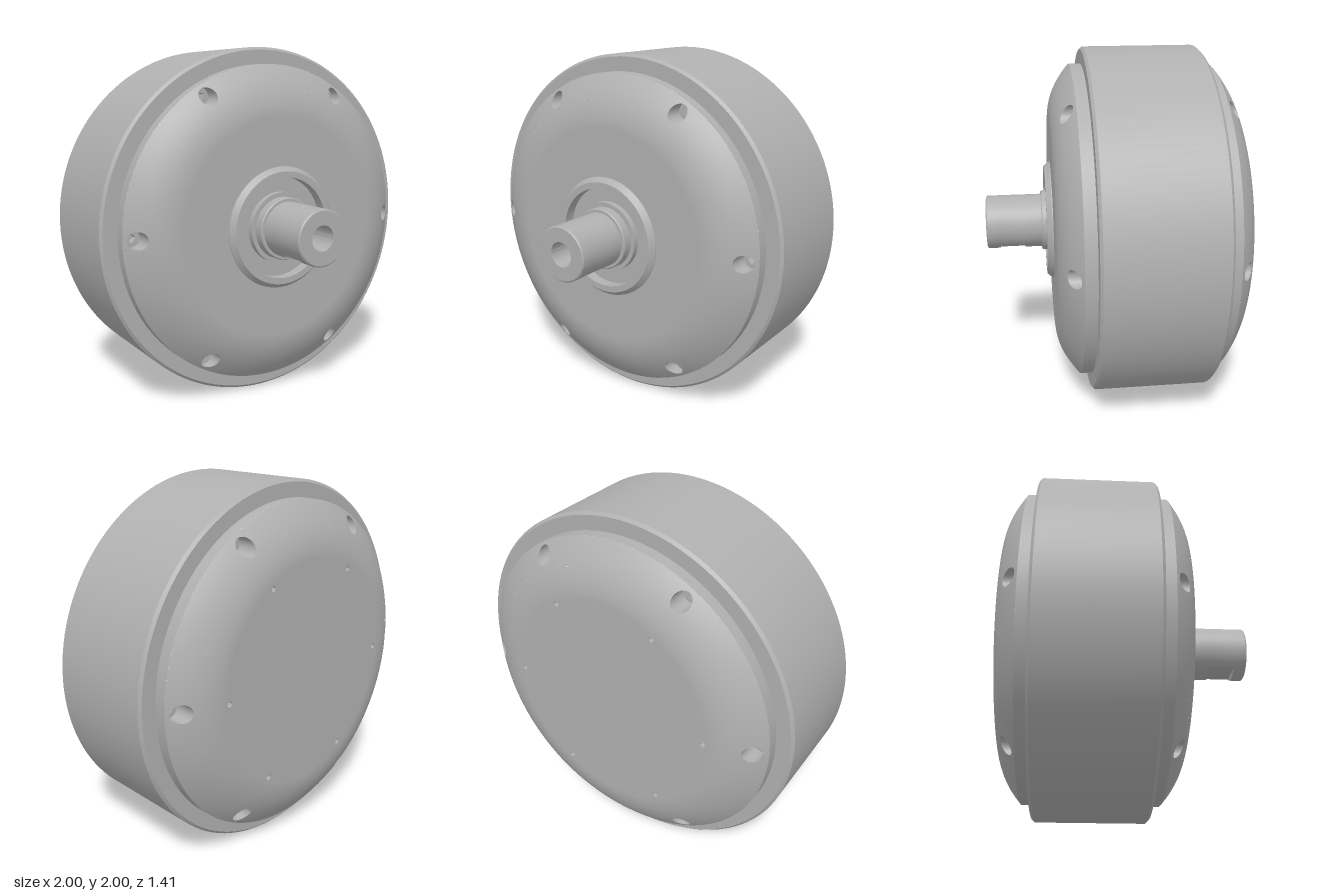
import * as THREE from 'three';
import { mergeGeometries, toCreasedNormals } from 'three/addons/utils/BufferGeometryUtils.js';

const metal = new THREE.MeshStandardMaterial({ color: 0xb0b0b0 });
metal.name = 'grey metal';

const FACE = 0.515, FLAT = 0.62, RIM = 0.905, CURVE = 1.54; // cap profile
const BOLT_R = 0.84, HOLE = 0.048, BAND = 0.775, FLOOR = 0.35;
const MID_Z = -0.185;

const dome = r => FACE - CURVE * Math.max(0, r - FLAT) ** 2;
const around = (r, n = 6) => Array.from({ length: n }, (_, i) => {
  const a = i * Math.PI * 2 / n;
  return [r * Math.cos(a), r * Math.sin(a)];
});

function mesh(name, geometry) {
  const m = new THREE.Mesh(geometry, metal);
  m.name = name;
  return m;
}

// Solid of revolution about z; points are [radius, z]
function turned(points, segments = 96) {
  const g = new THREE.LatheGeometry(points.map(p => new THREE.Vector2(...p)), segments);
  g.rotateX(Math.PI / 2);
  return toCreasedNormals(g, 0.5);
}

// Exact smooth normals for anything lying on the domed cap surface
function domeNormals(g) {
  const p = g.attributes.position, normals = [], n = new THREE.Vector3();
  for (let i = 0; i < p.count; i++) {
    const x = p.getX(i), y = p.getY(i), r = Math.hypot(x, y);
    const k = 2 * CURVE * Math.max(0, r - FLAT) / r;
    n.set(x * k, y * k, 1).normalize();
    normals.push(n.x, n.y, n.z);
  }
  g.setAttribute('normal', new THREE.Float32BufferAttribute(normals, 3));
  return g;
}

// A sixth of the domed band, with a bolt hole through its middle
function holedSector() {
  const n = 14, rings = 8, count = 4 * n, a = Math.PI / 6;
  const out = RIM, corners = [[out, -a], [out, a], [BAND, a], [BAND, -a]];
  const pos = [], index = [];
  for (let j = 0; j <= rings; j++) {
    const s = (j / rings) ** 1.5;
    for (let i = 0; i < count; i++) {
      const k = Math.floor(i / n), f = (i % n) / n;
      const A = corners[k], B = corners[(k + 1) % 4];
      const t = -Math.PI / 4 + i / count * Math.PI * 2;
      const hx = BOLT_R + HOLE * Math.cos(t), hy = HOLE * Math.sin(t);
      const r = THREE.MathUtils.lerp(Math.hypot(hx, hy), A[0] + (B[0] - A[0]) * f, s);
      const th = THREE.MathUtils.lerp(Math.atan2(hy, hx), A[1] + (B[1] - A[1]) * f, s);
      pos.push(r * Math.cos(th), r * Math.sin(th), dome(r));
      if (j < rings) {
        const p = j * count + i, q = j * count + (i + 1) % count;
        index.push(p, p + count, q + count, p, q + count, q);
      }
    }
  }
  const g = new THREE.BufferGeometry();
  g.setAttribute('position', new THREE.Float32BufferAttribute(pos, 3));
  g.setIndex(index);
  return domeNormals(g);
}

// Bore wall whose upper edge follows the dome
function boltBore() {
  const g = new THREE.LatheGeometry([new THREE.Vector2(HOLE, 1), new THREE.Vector2(HOLE, FLOOR)], 56);
  g.rotateX(Math.PI / 2).translate(BOLT_R, 0, 0);
  const p = g.attributes.position;
  for (let i = 0; i < p.count; i++) {
    if (p.getZ(i) > 0.9) p.setZ(i, dome(Math.hypot(p.getX(i), p.getY(i))));
  }
  return g;
}

// Flat disc at height z with holes of [x, y, radius, sides]
function disc(radius, z, holes, sides) {
  const ring = (x, y, r, n) => Array.from({ length: n }, (_, i) => {
    const a = i * Math.PI * 2 / n;
    return new THREE.Vector2(x + r * Math.sin(a), y + r * Math.cos(a));
  });
  const shape = new THREE.Shape(ring(0, 0, radius, sides));
  for (const h of holes) shape.holes.push(new THREE.Path(ring(...h)));
  return new THREE.ShapeGeometry(shape).translate(0, 0, z);
}

// Domed end cap facing +z; holes pierce its flat face
function endCap(name, holes) {
  const cap = new THREE.Group();
  cap.name = name;
  cap.add(mesh('capWall', turned([[RIM, 0.3], [RIM, dome(RIM)]])));
  const curve = [];
  for (let i = 0; i <= 10; i++) {
    const r = BAND + (FLAT - BAND) * i / 10;
    curve.push([r, dome(r)]);
  }
  cap.add(mesh('capShoulder', domeNormals(turned(curve))));
  cap.add(mesh('capFace', disc(FLAT, FACE, holes, 96)));
  const sector = holedSector(), bore = boltBore();
  const floor = disc(HOLE, FLOOR, [[0, 0, 0.027, 4]], 56).translate(BOLT_R, 0, 0);
  const socket = turned([[0.027, FLOOR], [0.027, FLOOR - 0.04], [0, FLOOR - 0.04]], 4).translate(BOLT_R, 0, 0);
  for (let i = 0; i < 6; i++) {
    const bolt = new THREE.Group();
    bolt.name = 'boltSector';
    bolt.add(mesh('capBand', sector), mesh('boltBore', bore), mesh('boltHead', floor), mesh('boltSocket', socket));
    bolt.rotation.z = i * Math.PI / 3;
    cap.add(bolt);
  }
  return cap;
}

export function createModel() {
  const model = new THREE.Group();
  model.name = 'hubMotor';

  // Drum
  model.add(mesh('drum', turned([[0.88, -0.51], [0.985, -0.51], [1, -0.495], [1, 0.125], [0.985, 0.14], [0.88, 0.14]], 128)));

  // End caps
  const front = endCap('frontCap', [[0, 0, 0.3, 48]]);
  front.position.z = MID_Z;
  const pinPositions = around(0.61 - 0.012);
  const back = endCap('backCap', pinPositions.map(([x, y]) => [x, y, 0.016, 8]));
  back.position.z = MID_Z;
  back.rotation.y = Math.PI;
  const pins = pinPositions.map(([x, y]) =>
    turned([[0.016, FACE], [0.016, FACE - 0.06], [0, FACE - 0.06]], 8).translate(x, y, 0));
  back.add(mesh('mountingHoles', mergeGeometries(pins)));
  model.add(front, back);

  // Bearing housing and seal around the shaft
  model.add(mesh('bearingRing', turned([[0.345, 0.32], [0.345, 0.335], [0.32, 0.365], [0.285, 0.365], [0.285, 0.3], [0.2, 0.3]], 64)));
  model.add(mesh('shaftCollar', turned([[0.2, 0.3], [0.2, 0.335], [0.175, 0.335], [0.175, 0.385], [0.17, 0.39], [0.14, 0.39]], 64)));

  // Shaft: plain root, middle with a flat cut underneath, bored tip
  const shaft = new THREE.Group();
  shaft.name = 'shaft';
  shaft.add(mesh('shaftRoot', turned([[0.155, 0.38], [0.155, 0.49], [0.09, 0.49]], 64)));
  const middle = new THREE.CylinderGeometry(0.155, 0.155, 0.145, 64, 1, true);
  middle.rotateX(Math.PI / 2).translate(0, 0, 0.5625);
  const p = middle.attributes.position;
  for (let i = 0; i < p.count; i++) p.setY(i, Math.max(p.getY(i), -0.125));
  shaft.add(mesh('shaftFlat', toCreasedNormals(middle, 0.3)));
  shaft.add(mesh('shaftTip', turned([[0.09, 0.635], [0.155, 0.635], [0.155, 0.7], [0.148, 0.707], [0.07, 0.707], [0.07, 0.53], [0, 0.5]], 64)));
  model.add(shaft);

  // Lift the axis so the drum stands on the ground
  for (const part of model.children) part.position.y = 1;
  return model;
}
